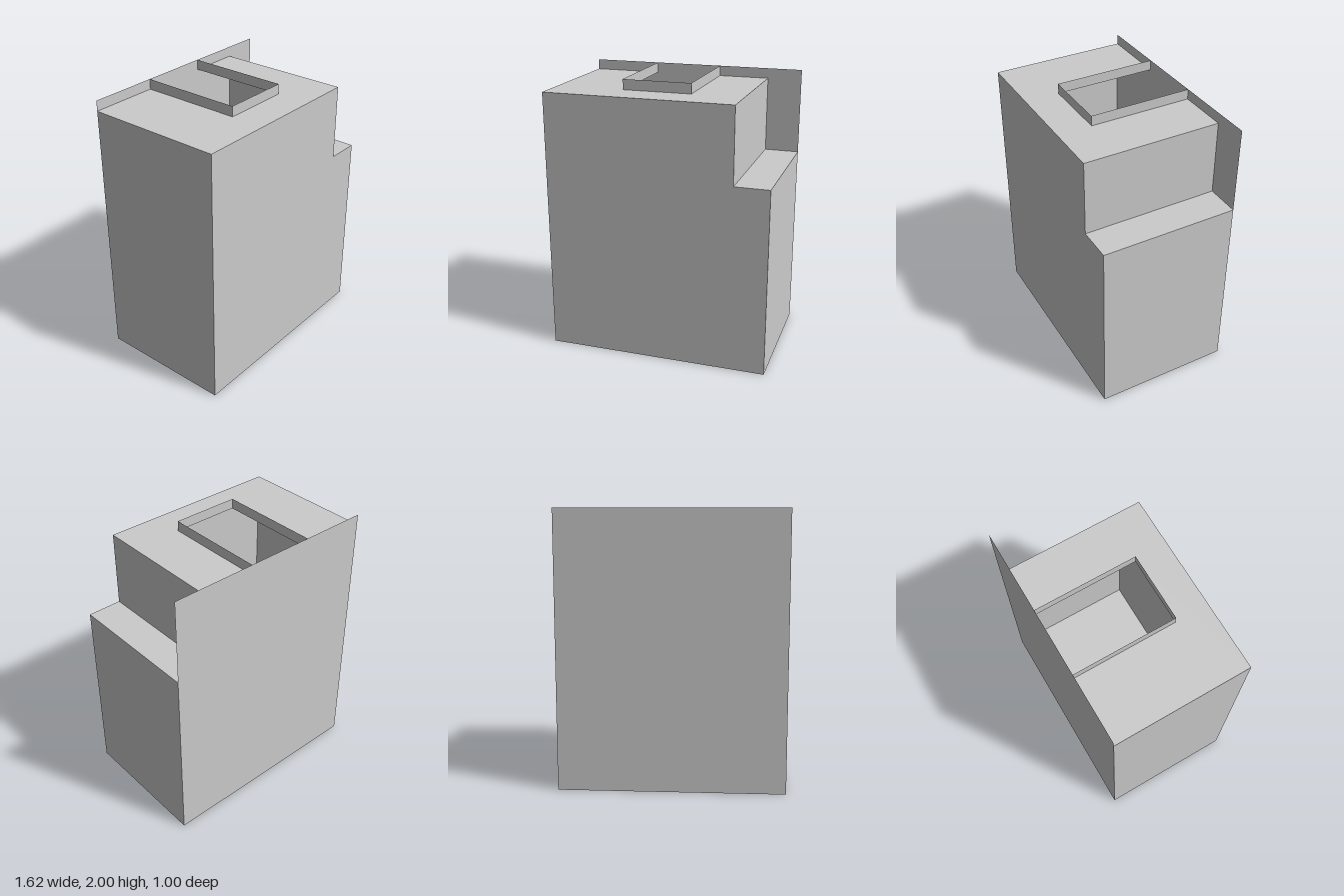
import * as THREE from 'three';

const W = 0.8125, D = 0.5;               // half width, half depth
const TOP = 1.925, FULL = 2;             // body top, back panel top
const STEP_X = 0.56, STEP_Y = 1.375;     // notch in the upper +x corner
const NECK = { x0: -0.3125, x1: 0.1875, z: 0.25 }; // open neck against the back panel

export function createModel() {
  const group = new THREE.Group();
  const material = new THREE.MeshStandardMaterial({ color: 0xcccccc, side: THREE.DoubleSide, flatShading: true });

  const add = (name, geometry) => {
    const mesh = new THREE.Mesh(geometry, material);
    mesh.name = name;
    group.add(mesh);
  };
  const outline = (points) =>
    new THREE.ShapeGeometry(new THREE.Shape(points.map(([x, y]) => new THREE.Vector2(x, y))));

  // Sheet facing +x or -x, running from z0 to z1
  const sideSheet = (name, x, y0, y1, z0, z1, facing) =>
    add(name, new THREE.PlaneGeometry(z1 - z0, y1 - y0)
      .rotateY(facing * Math.PI / 2).translate(x, (y0 + y1) / 2, (z0 + z1) / 2));
  // Sheet facing +z or -z
  const frontSheet = (name, x0, x1, y0, y1, z, facing) =>
    add(name, new THREE.PlaneGeometry(x1 - x0, y1 - y0)
      .rotateY(facing > 0 ? 0 : Math.PI).translate((x0 + x1) / 2, (y0 + y1) / 2, z));
  // Horizontal sheet from an outline in x and -z
  const levelSheet = (name, points, y) =>
    add(name, outline(points).rotateX(-Math.PI / 2).translate(0, y, 0));

  // Hollow body
  add('frontPanel', outline([[-W, 0], [W, 0], [W, STEP_Y], [STEP_X, STEP_Y], [STEP_X, TOP], [-W, TOP]])
    .translate(0, 0, D));
  frontSheet('backPanel', -W, W, 0, FULL, -D, -1);
  sideSheet('rightPanel', -W, 0, TOP, -D, D, -1);
  sideSheet('leftPanel', W, 0, STEP_Y, -D, D, 1);
  sideSheet('stepWall', STEP_X, STEP_Y, TOP, -D, D, 1);
  levelSheet('stepLedge', [[STEP_X, -D], [W, -D], [W, D], [STEP_X, D]], STEP_Y);
  add('bottomPanel', new THREE.PlaneGeometry(2 * W, 2 * D).rotateX(Math.PI / 2));

  // Top with the neck opening cut in from the back edge
  levelSheet('topPanel', [
    [-W, -D], [STEP_X, -D], [STEP_X, D], [NECK.x1, D],
    [NECK.x1, -NECK.z], [NECK.x0, -NECK.z], [NECK.x0, D], [-W, D],
  ], TOP);

  // Raised rim around the opening
  sideSheet('neckRight', NECK.x0, TOP, FULL, -D, NECK.z, -1);
  sideSheet('neckLeft', NECK.x1, TOP, FULL, -D, NECK.z, 1);
  frontSheet('neckFront', NECK.x0, NECK.x1, TOP, FULL, NECK.z, 1);

  return group;
}
